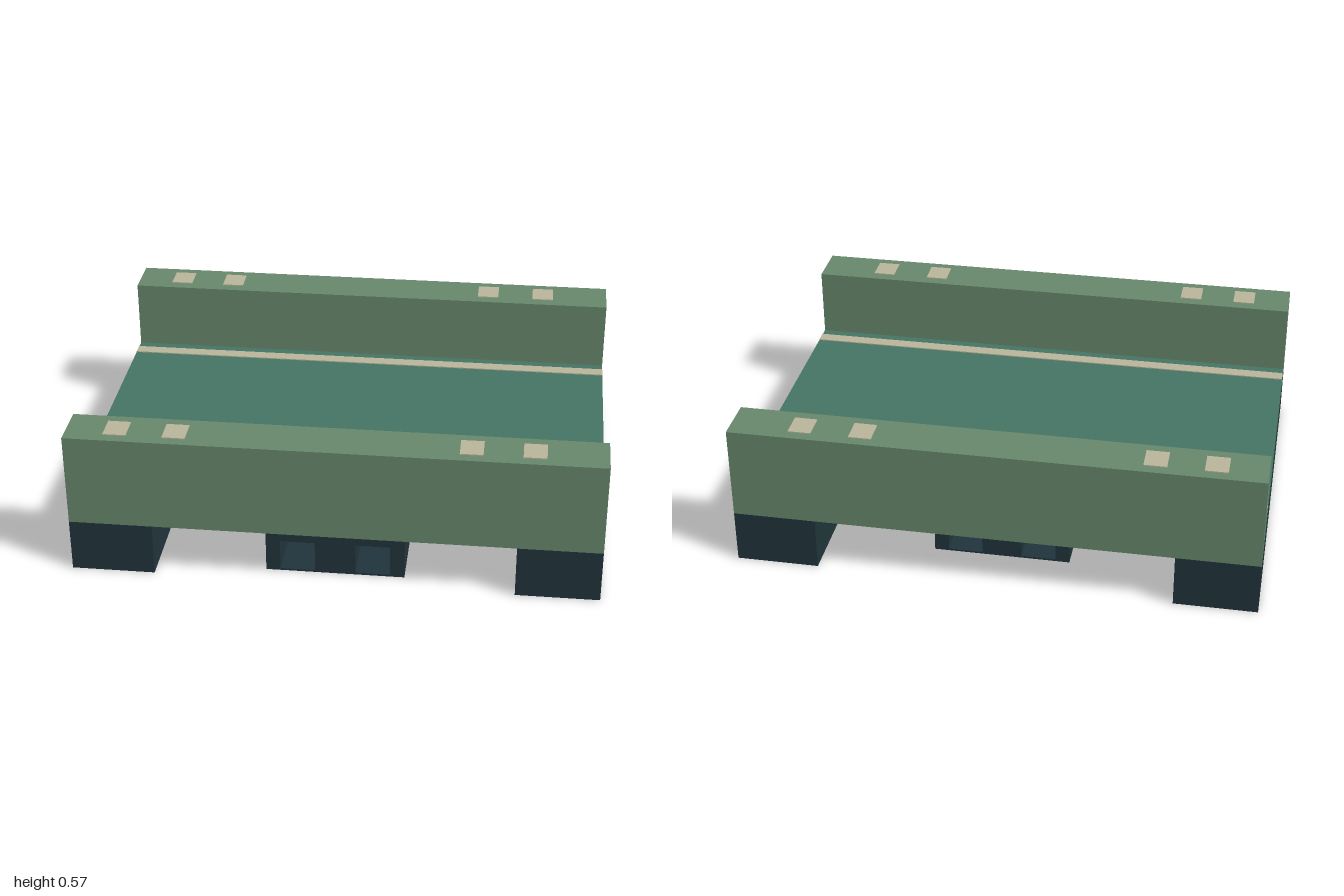
import * as THREE from 'three';

const paint = (name, color) => {
  const m = new THREE.MeshStandardMaterial({ color });
  m.name = name;
  return m;
};

export function createModel() {
  const model = new THREE.Group();
  model.name = 'pallet';
  const wallGreen = paint('sage green', 0x66876a);
  const deckGreen = paint('teal green', 0x457464);
  const dark = paint('dark slate', 0x20343b);
  const tan = paint('pale tan', 0xb9b59b);

  // Box given by its limits on each axis
  const box = (name, mat, [x0, x1], [y0, y1], [z0, z1]) => {
    const mesh = new THREE.Mesh(new THREE.BoxGeometry(x1 - x0, y1 - y0, z1 - z0), mat);
    mesh.position.set((x0 + x1) / 2, (y0 + y1) / 2, (z0 + z1) / 2);
    mesh.name = name;
    model.add(mesh);
  };

  const base = 0.207, deckTop = 0.296, wallTop = 0.57;

  // Deck between the two walls
  box('deck', deckGreen, [-1, 1], [base, deckTop], [-0.567, 0.567]);

  // Side runners
  box('leftRunner', dark, [0.683, 1], [0, base], [-0.75, 0.75]);
  box('rightRunner', dark, [-1, -0.683], [0, base], [-0.75, 0.75]);

  // Walls, deck stripes and wall-top pads, mirrored front to back
  for (const [side, s] of [['front', 1], ['back', -1]]) {
    const span = (a, b) => (s > 0 ? [a, b] : [-b, -a]);
    box(side + 'Wall', wallGreen, [-1, 1], [base, wallTop], span(0.567, 0.75));
    box(side + 'Stripe', tan, [-1, 1], [deckTop, deckTop + 0.004], span(0.475, 0.525));
    for (const x of [-0.813, -0.592, 0.502, 0.732])
      box(side + 'Pad', tan, [x - 0.043, x + 0.043], [wallTop, wallTop + 0.004], span(0.61, 0.71));
  }

  // Central runner with two fork channels running through it
  const rect = (path, x0, x1, y0, y1) =>
    path.moveTo(x0, y0).lineTo(x1, y0).lineTo(x1, y1).lineTo(x0, y1).closePath();
  const section = rect(new THREE.Shape(), -0.264, 0.264, 0, base);
  for (const x of [-0.143, 0.143])
    section.holes.push(rect(new THREE.Path(), x - 0.066, x + 0.066, 0.008, 0.13));
  const centre = new THREE.Mesh(
    new THREE.ExtrudeGeometry(section, { depth: 1.24, bevelEnabled: false }), dark);
  centre.position.z = -0.56;
  centre.name = 'centreRunner';
  model.add(centre);

  return model;
}
